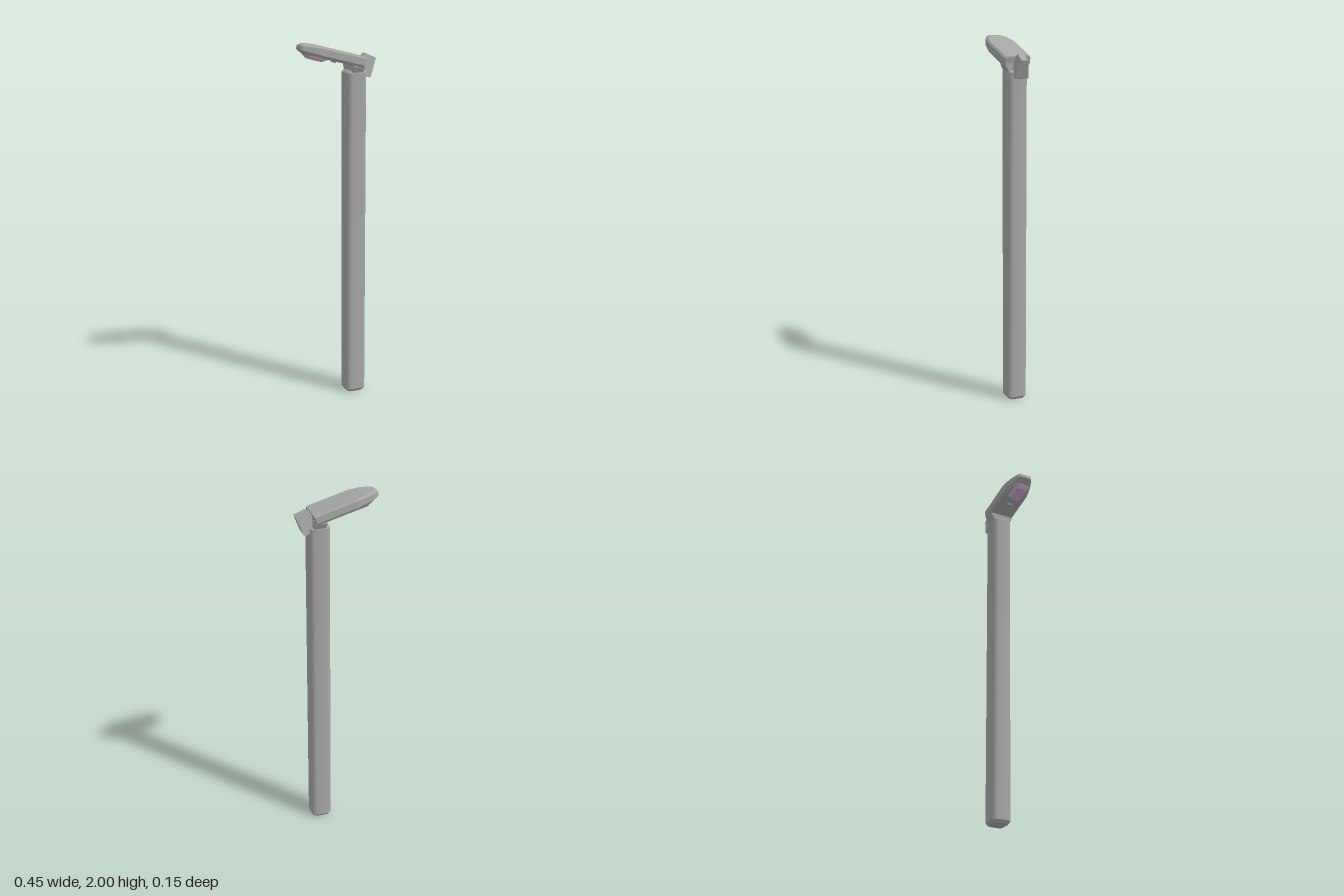
import * as THREE from 'three';
import { toCreasedNormals } from 'three/addons/utils/BufferGeometryUtils.js';

const metal = new THREE.MeshStandardMaterial({ color: 0xa6a6a6 });
metal.name = 'grey metal';
const glass = new THREE.MeshStandardMaterial({ color: 0xcfa8d4 });
glass.name = 'lavender glass';

// Closed solid through rings of [x, y, z], listed from top to bottom
function loft(rings) {
  const pos = [];
  const quad = (a, b, c, d) => pos.push(...a, ...b, ...c, ...a, ...c, ...d);
  const n = rings[0].length;
  const top = rings[0];
  const bottom = rings[rings.length - 1];
  for (let i = 0; i < rings.length - 1; i++) {
    for (let j = 0; j < n; j++) {
      const k = (j + 1) % n;
      quad(rings[i][j], rings[i][k], rings[i + 1][k], rings[i + 1][j]);
    }
  }
  // Caps in crosswise strips
  for (let j = 0; j < n / 2 - 1; j++) {
    const [k, l, m] = [j + 1, n - 2 - j, n - 1 - j];
    quad(top[j], top[m], top[l], top[k]);
    quad(bottom[j], bottom[k], bottom[l], bottom[m]);
  }
  const g = new THREE.BufferGeometry();
  g.setAttribute('position', new THREE.Float32BufferAttribute(pos, 3));
  g.computeVertexNormals();
  return g;
}

// Horizontal rectangle with cut corners, or rounded ones with more steps
function rect(hx, hz, c, y, cx = 0, steps = 1) {
  const ring = [];
  [[-1, 1], [-1, -1], [1, -1], [1, 1]].forEach(([sx, sz], q) => {
    for (let s = 0; s <= steps; s++) {
      const a = (q + 1 + s / steps) * Math.PI / 2;
      ring.push([cx + sx * (hx - c) + c * Math.cos(a), y, sz * (hz - c) + c * Math.sin(a)]);
    }
  });
  return ring;
}

// Plan outline of the lamp head: square at the pole, tapering to a blunt nose
function headRing(end, length, inset, y, noseY) {
  const half = [
    [end, 0.069 - inset, 0], [end + 0.007, 0.076 - inset, 0], [0.24, 0.076 - inset, 0],
    [0.30, 0.064 - inset * 1.3, 0.3], [length - 0.012, 0.042 - inset, 0.85], [length, 0.031 - inset * 0.5, 1],
  ].map(([u, z, drop]) => [-u, y + (noseY - y) * drop, z]);
  return [...half, ...half.slice().reverse().map(([x, h, z]) => [x, h, -z])];
}

function add(parent, name, geometry, material = metal) {
  const mesh = new THREE.Mesh(geometry, material);
  mesh.name = name;
  parent.add(mesh);
  return mesh;
}

export function createModel() {
  const model = new THREE.Group();
  model.name = 'streetLamp';

  // Pole with rounded corners and bevelled ends
  const pole = loft([
    rect(0.046, 0.044, 0.019, 1.845, 0, 4), rect(0.0575, 0.055, 0.028, 1.833, 0, 4),
    rect(0.0575, 0.055, 0.028, 0.016, 0, 4), rect(0.046, 0.043, 0.019, 0, 0, 4),
  ]);
  add(model, 'pole', toCreasedNormals(pole, 0.6)).position.set(0.099, 0, -0.002);

  // Flared neck between pole and head
  add(model, 'neck', loft([
    rect(0.036, 0.068, 0.006, 1.885), rect(0.036, 0.068, 0.006, 1.865), rect(0.036, 0.048, 0.006, 1.825),
  ])).position.set(0.1, 0, -0.002);

  // Tilted lamp head
  const head = new THREE.Group();
  head.name = 'head';
  head.position.set(0.143, 1.917, -0.002);
  head.rotation.z = -0.265;
  model.add(head);
  add(head, 'headShell', loft([
    headRing(0.002, 0.354, 0.008, 0, -0.009),
    headRing(0, 0.37, 0, -0.01, -0.022),
    headRing(0, 0.37, 0, -0.046, -0.044),
    headRing(0.003, 0.338, 0.01, -0.061, -0.062),
  ]));

  // Lamp housing under the nose, closed by a lens plate
  add(head, 'lampHousing', loft([
    rect(0.066, 0.044, 0.016, -0.058, -0.267),
    rect(0.062, 0.042, 0.016, -0.068, -0.267),
  ]));
  add(head, 'lens', loft([
    rect(0.06, 0.04, 0.016, -0.067, -0.267),
    rect(0.042, 0.03, 0.012, -0.081, -0.27),
  ]), glass);
  const sensor = add(head, 'sensor', new THREE.CylinderGeometry(0.018, 0.014, 0.01, 12));
  sensor.position.set(-0.153, -0.064, 0);

  // Rear bracket: a tilted block that widens downward
  const profile = new THREE.Shape([
    [0.164, 1.931], [0.225, 1.903], [0.184, 1.803], [0.176, 1.801],
    [0.146, 1.815], [0.11, 1.857], [0.13, 1.9], [0.143, 1.914],
  ].map(([x, y]) => new THREE.Vector2(x, y)));
  const bracket = new THREE.ExtrudeGeometry(profile, { depth: 2, bevelEnabled: false });
  bracket.translate(0, 0, -1);
  const p = bracket.attributes.position;
  for (let i = 0; i < p.count; i++) {
    const drop = THREE.MathUtils.clamp((1.93 - p.getY(i)) / 0.125, 0, 1);
    p.setZ(i, p.getZ(i) * (0.015 + 0.023 * drop));
  }
  bracket.computeVertexNormals();
  add(model, 'bracket', bracket).position.z = -0.007;

  return model;
}
